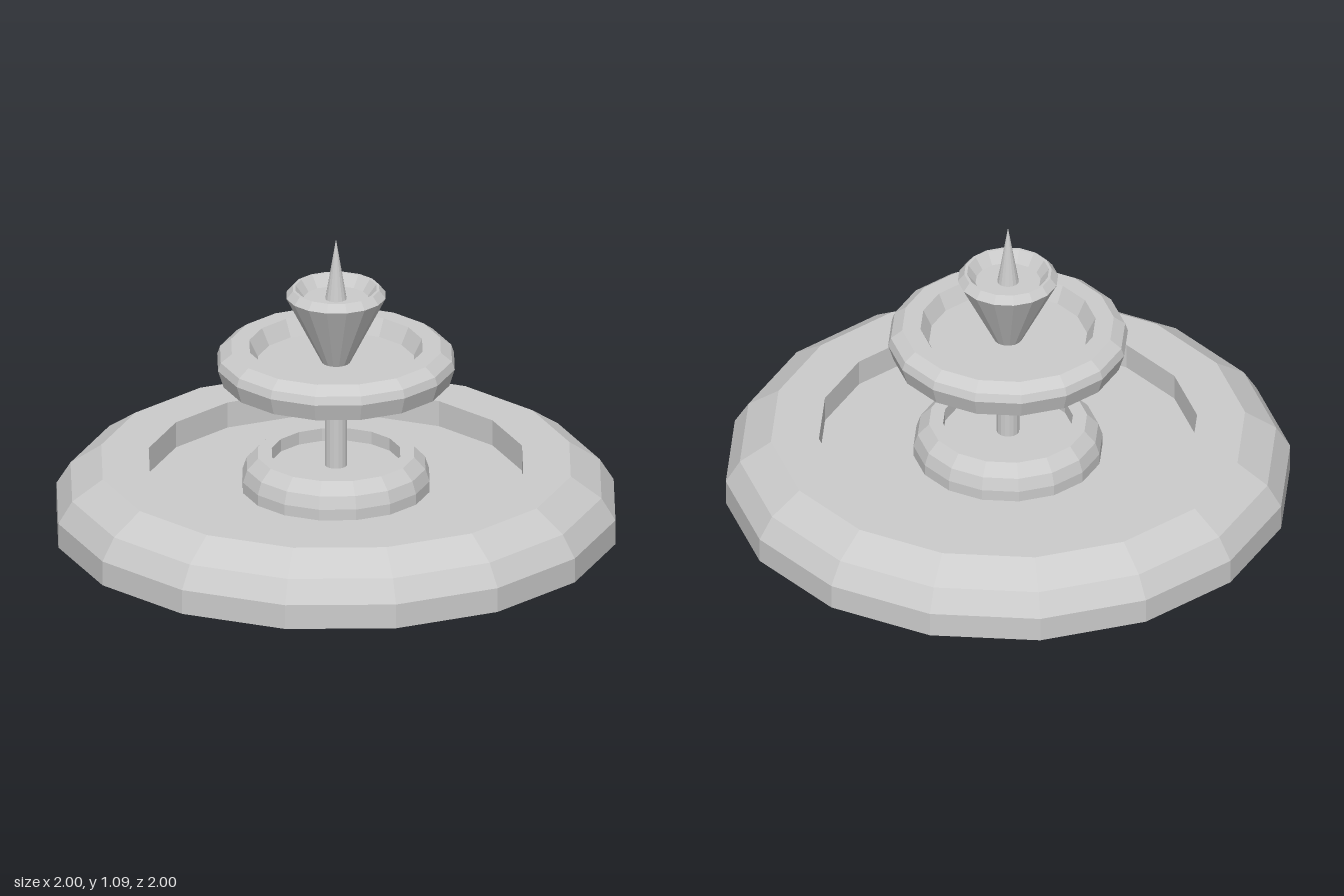
import * as THREE from 'three';

const SIDES = 16;

// Open faceted shell turned around the y axis from [radius, height] points
function turned(name, profile, material) {
  const points = profile.map(([r, y]) => new THREE.Vector2(r, y));
  const mesh = new THREE.Mesh(new THREE.LatheGeometry(points, SIDES), material);
  mesh.name = name;
  return mesh;
}

export function createModel() {
  const stone = new THREE.MeshStandardMaterial({
    color: 0xcccccc, flatShading: true, side: THREE.DoubleSide,
  });
  const fountain = new THREE.Group();
  fountain.name = 'fountain';

  // Each part starts where the one below it ends, forming one hollow shell
  const parts = {
    // wide pool: rounded rim, vertical inner wall and ring-shaped floor
    lowerBasin: [[1, 0], [1, 0.09], [0.95, 0.17], [0.84, 0.245], [0.67, 0.245], [0.67, 0.15], [0.335, 0.15]],
    // small raised bowl in the pool
    pedestalBowl: [[0.335, 0.15], [0.335, 0.19], [0.32, 0.235], [0.28, 0.277], [0.23, 0.277], [0.23, 0.23], [0.04, 0.23]],
    column: [[0.04, 0.23], [0.04, 0.547]],
    // shallow dish on the column
    middleDish: [[0.04, 0.547], [0.28, 0.547], [0.405, 0.557], [0.425, 0.62], [0.415, 0.65], [0.375, 0.68],
      [0.31, 0.68], [0.28, 0.62], [0.05, 0.62]],
    // flared cup
    upperCup: [[0.05, 0.62], [0.178, 0.872], [0.155, 0.9], [0.145, 0.9], [0.115, 0.86], [0.038, 0.86]],
    spire: [[0.038, 0.86], [0, 1.085]],
  };
  for (const [name, profile] of Object.entries(parts)) {
    fountain.add(turned(name, profile, stone));
  }
  return fountain;
}
